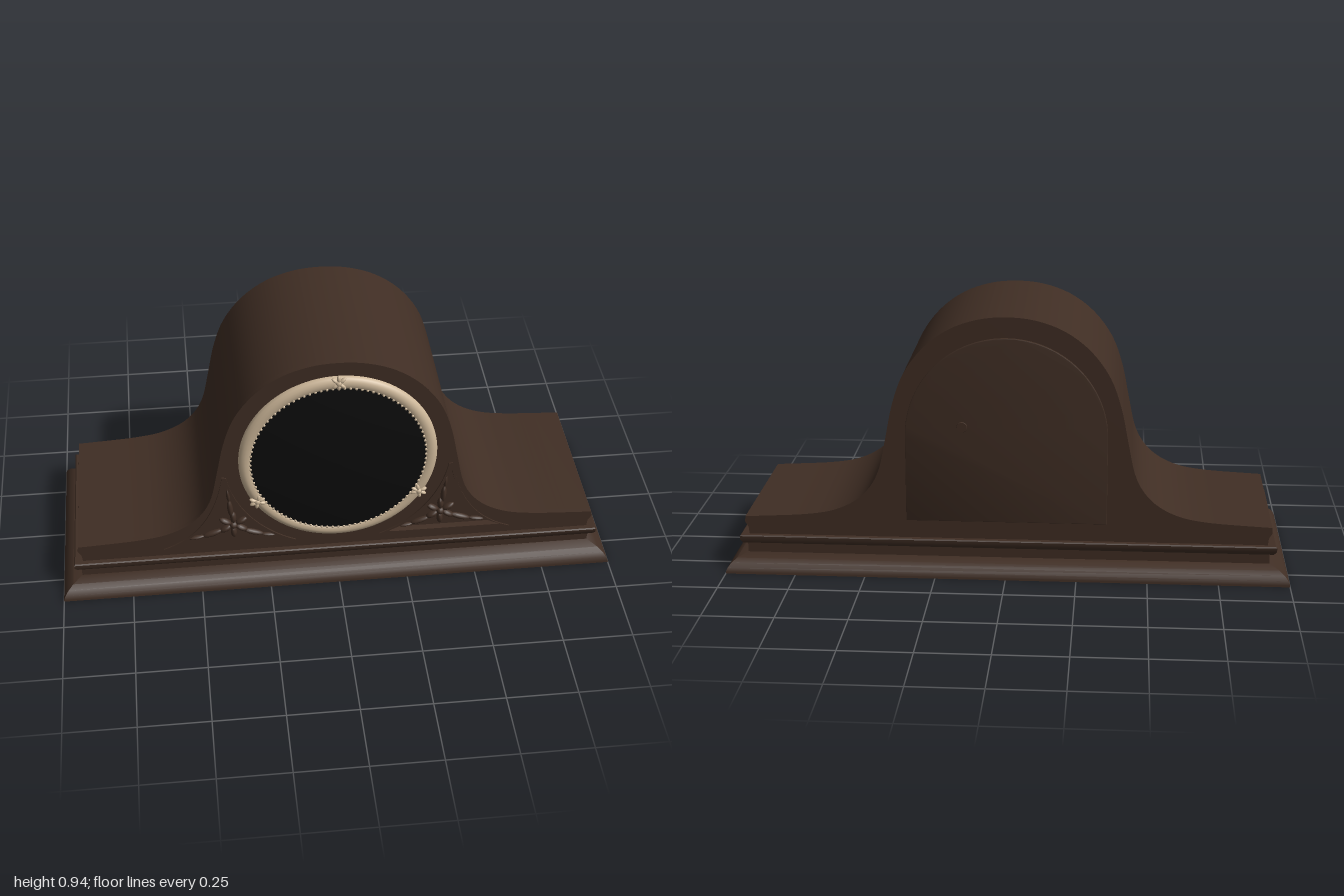
import * as THREE from 'three';
import { mergeGeometries, toCreasedNormals } from 'three/addons/utils/BufferGeometryUtils.js';

const wood = new THREE.MeshStandardMaterial({ color: 0x402e24 });
wood.name = 'dark wood';
const brass = new THREE.MeshStandardMaterial({ color: 0xcdb799 });
brass.name = 'pale brass';
const black = new THREE.MeshStandardMaterial({ color: 0x0c0c0c });
black.name = 'black dial';

const DIAL_Y = 0.535;
const V = (x, y) => new THREE.Vector2(x, y);

function add(parent, name, geometry, material) {
  const mesh = new THREE.Mesh(geometry, material);
  mesh.name = name;
  parent.add(mesh);
  return mesh;
}

// Rectangular moulding: each profile entry is [inset from the footprint, height]
function moulding(profile, halfX, halfZ) {
  const pos = [];
  const ring = ([d, y]) => [[1, 1], [1, -1], [-1, -1], [-1, 1]].map(([sx, sz]) => [sx * (halfX - d), y, sz * (halfZ - d)]);
  const quad = (a, b, c, d) => pos.push(...a, ...b, ...c, ...a, ...c, ...d);
  const rings = profile.map(ring);
  for (let i = 0; i < rings.length - 1; i++) {
    for (let k = 0; k < 4; k++) {
      const n = (k + 1) % 4;
      quad(rings[i][k], rings[i][n], rings[i + 1][n], rings[i + 1][k]);
    }
  }
  const b = rings[0], t = rings[rings.length - 1];
  quad(b[3], b[2], b[1], b[0]);
  quad(t[0], t[1], t[2], t[3]);
  const geo = new THREE.BufferGeometry();
  geo.setAttribute('position', new THREE.Float32BufferAttribute(pos, 3));
  geo.computeVertexNormals();
  return toCreasedNormals(geo, 0.6);
}

function extrude(shape, z, depth, bevel = 0) {
  const geo = new THREE.ExtrudeGeometry(shape, {
    depth: depth - 2 * bevel, curveSegments: 32, bevelEnabled: bevel > 0,
    bevelSize: bevel, bevelThickness: bevel, bevelOffset: -bevel, bevelSegments: 2,
  });
  geo.translate(0, 0, z + bevel);
  return toCreasedNormals(geo, 0.5);
}

// Round-topped silhouette sweeping down into flat shoulders
function caseShape() {
  const half = [
    [0, 0.938], [0.1, 0.928], [0.2, 0.892], [0.29, 0.825], [0.36, 0.73], [0.4, 0.62], [0.425, 0.5],
    [0.45, 0.385], [0.485, 0.315], [0.54, 0.262], [0.62, 0.225], [0.72, 0.208], [0.84, 0.2],
  ];
  const all = [...half.slice(1).reverse().map(([x, y]) => V(-x, y)), ...half.map(([x, y]) => V(x, y))];
  const top = new THREE.SplineCurve(all).getPoints(96);
  return new THREE.Shape([
    V(-0.922, 0.13), V(-0.925, 0.155), V(-0.937, 0.175), V(-0.935, 0.195), ...top,
    V(0.935, 0.195), V(0.937, 0.175), V(0.925, 0.155), V(0.922, 0.13),
  ]);
}

// Corner panel between dial and shoulder, scaled about its middle
function spandrelPoints(side, scale) {
  const c = V(0.4, 0.245), R = 0.4;
  const pts = new THREE.QuadraticBezierCurve(V(0.63, 0.16), V(0.45, 0.22), V(0.41, 0.475)).getPoints(16);
  for (let i = 0; i <= 16; i++) {
    const a = THREE.MathUtils.lerp(-0.16, -1.18, i / 16);
    pts.push(V(R * Math.cos(a), DIAL_Y + R * Math.sin(a)));
  }
  pts.push(V(0.165, 0.16));
  return pts.map((p) => V(side * (c.x + (p.x - c.x) * scale), c.y + (p.y - c.y) * scale));
}

// Rounded leaf: a squashed ball pointing along an angle
function leaf(x, y, z, angle, length, width, depth) {
  const geo = new THREE.SphereGeometry(1, 12, 8);
  geo.scale(length / 2, width / 2, depth);
  geo.rotateZ(angle);
  geo.translate(x, y, z);
  return geo;
}

function carving(side) {
  const parts = [], cx = 0.375, cy = 0.24;
  const put = (x, y, a, l, w, d) => parts.push(leaf(side * x, y, 0.282, side > 0 ? a : Math.PI - a, l, w, d));
  put(cx, cy, 0, 0.03, 0.03, 0.02);
  for (let i = 0; i < 6; i++) {
    const a = Math.PI / 2 + (i * Math.PI) / 3;
    put(cx + 0.033 * Math.cos(a), cy + 0.033 * Math.sin(a), a, 0.05, 0.022, 0.016);
  }
  // Trailing leaves into the three corners
  put(0.385, 0.315, 1.5, 0.075, 0.02, 0.014);
  put(0.39, 0.375, 1.5, 0.055, 0.014, 0.012);
  put(0.45, 0.205, -0.35, 0.08, 0.022, 0.014);
  put(0.51, 0.19, -0.15, 0.06, 0.014, 0.012);
  put(0.305, 0.2, 0.35, 0.08, 0.02, 0.014);
  put(0.25, 0.183, 0.1, 0.055, 0.012, 0.012);
  return mergeGeometries(parts);
}

// Revolve a [radius, z] profile about the dial axis
function revolve(points, segments = 96) {
  const geo = new THREE.LatheGeometry(points.map(([r, z]) => V(r, z)), segments);
  geo.rotateX(Math.PI / 2);
  geo.translate(0, DIAL_Y, 0);
  return geo;
}

export function createModel() {
  const model = new THREE.Group();
  model.name = 'mantelClock';

  // Stepped plinth
  add(model, 'plinth', moulding([
    [0, 0], [0, 0.006], [0.006, 0.02], [0.018, 0.035], [0.036, 0.048], [0.07, 0.06], [0.07, 0.095],
    [0.056, 0.099], [0.047, 0.112], [0.046, 0.126], [0.05, 0.13],
  ], 1, 0.367), wood);

  // Case, with a pierced front board that leaves the corner panels sunken
  add(model, 'case', extrude(caseShape(), -0.3, 0.58), wood);
  const front = caseShape();
  for (const side of [-1, 1]) front.holes.push(new THREE.Path(spandrelPoints(side, 0.86)));
  add(model, 'frontBoard', extrude(front, 0.28, 0.02), wood);

  // Raised frames and carved foliage
  for (const side of [-1, 1]) {
    const name = side > 0 ? 'left' : 'right';
    const frame = new THREE.Shape(spandrelPoints(side, 1));
    frame.holes.push(new THREE.Path(spandrelPoints(side, 0.86)));
    add(model, name + 'PanelFrame', extrude(frame, 0.299, 0.006), wood);
    add(model, name + 'Carving', carving(side), wood);
  }

  // Dial glass and bezel
  const dome = [];
  for (let i = 0; i <= 12; i++) {
    const r = 0.312 * (1 - i / 12);
    dome.push([r, 0.341 - 0.023 * (r / 0.312) ** 2]);
  }
  add(model, 'dial', revolve(dome), black);
  add(model, 'bezel', revolve([
    [0.35, 0.298], [0.35, 0.307], [0.346, 0.314], [0.337, 0.32], [0.327, 0.322], [0.317, 0.321], [0.309, 0.318], [0.305, 0.31],
  ]), brass);

  // Beaded inner edge
  const beads = [];
  for (let i = 0; i < 96; i++) {
    const a = (i / 96) * Math.PI * 2;
    const bead = new THREE.SphereGeometry(0.006, 6, 4);
    bead.translate(0.309 * Math.cos(a), DIAL_Y + 0.309 * Math.sin(a), 0.317);
    beads.push(bead);
  }
  add(model, 'bezelBeads', mergeGeometries(beads), brass);

  // Three leaf ornaments on the bezel
  for (let k = 0; k < 3; k++) {
    const parts = [leaf(0, 0, 0.32, 0, 0.022, 0.022, 0.01)];
    for (const a of [0, 0.9, -0.9, 2.3, -2.3, Math.PI]) {
      parts.push(leaf(0.016 * Math.cos(a), 0.016 * Math.sin(a), 0.318, a, 0.03, 0.014, 0.009));
    }
    const a = Math.PI / 2 + (k * Math.PI * 2) / 3;
    const ornament = add(model, 'bezelOrnament' + (k + 1), mergeGeometries(parts), brass);
    ornament.position.set(0.332 * Math.cos(a), DIAL_Y + 0.332 * Math.sin(a), 0);
    ornament.rotation.z = a;
  }

  // Arched back door with a small knob
  const door = new THREE.Shape();
  door.moveTo(-0.355, 0.197);
  door.lineTo(0.355, 0.197);
  door.lineTo(0.355, 0.51);
  door.absarc(0, 0.51, 0.355, 0, Math.PI, false);
  add(model, 'backDoor', extrude(door, -0.31, 0.012, 0.002), wood);
  const knob = new THREE.CylinderGeometry(0.02, 0.018, 0.006, 20);
  knob.rotateX(Math.PI / 2);
  knob.translate(0.155, 0.545, -0.311);
  add(model, 'doorKnob', knob, wood);

  return model;
}
